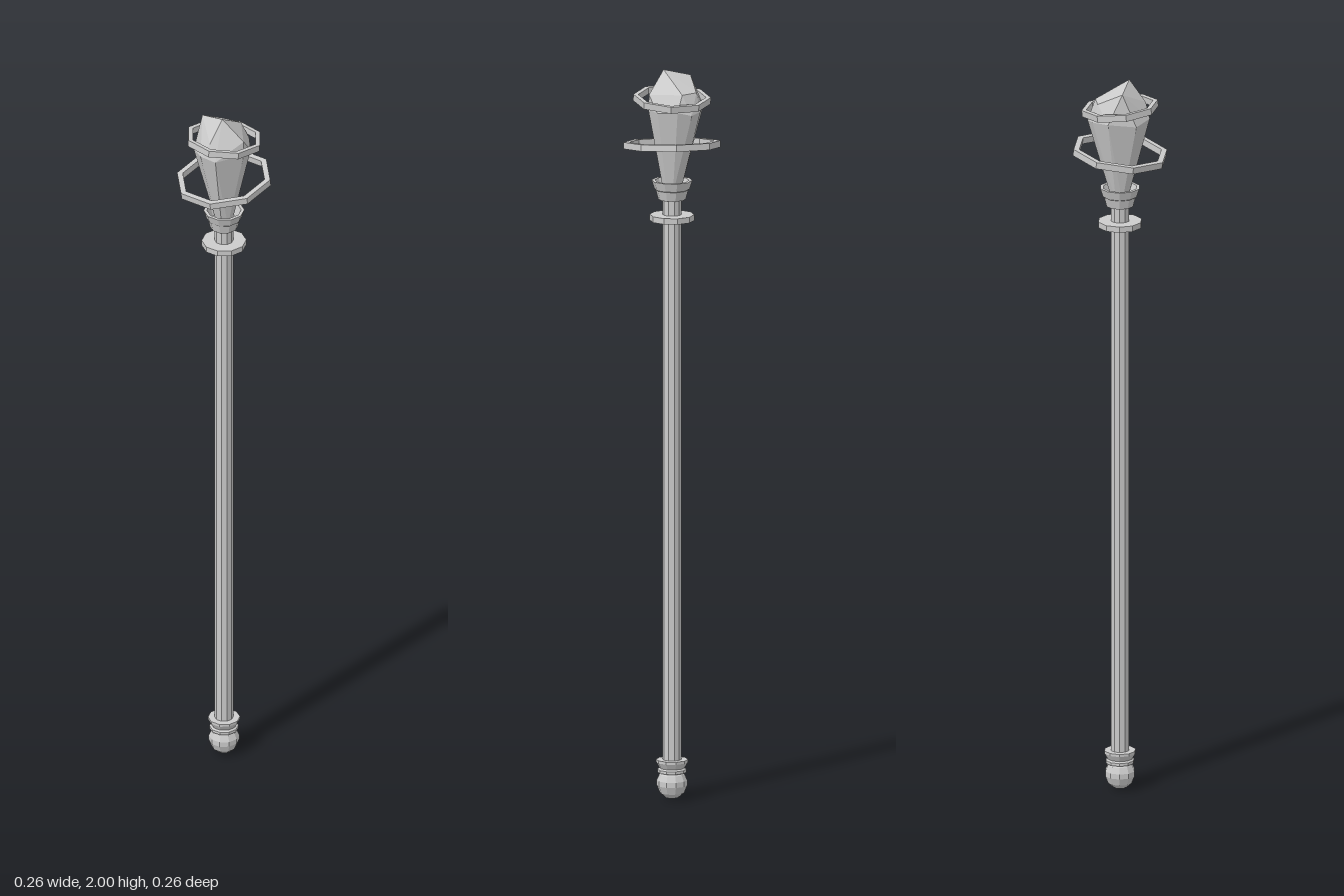
import * as THREE from 'three';
import { ConvexGeometry } from 'three/addons/geometries/ConvexGeometry.js';

export function createModel() {
  const model = new THREE.Group();
  const material = new THREE.MeshStandardMaterial({ color: 0xcccccc, flatShading: true });

  const add = (name, geometry, y = 0) => {
    const mesh = new THREE.Mesh(geometry, material);
    mesh.name = name;
    mesh.position.y = y;
    model.add(mesh);
    return mesh;
  };
  const lathe = (points, sides) =>
    new THREE.LatheGeometry(points.map(([r, y]) => new THREE.Vector2(r, y)), sides);

  // Shaft and the thin guard disc near its top
  add('shaft', new THREE.CylinderGeometry(0.025, 0.025, 1.57, 10), 0.875);
  add('guardDisc', new THREE.CylinderGeometry(0.06, 0.06, 0.016, 10), 1.598);

  // Rounded pommel with a flared collar
  add('pommel', lathe([
    [0, 0.005], [0.018, 0.009], [0.033, 0.022], [0.041, 0.042],
    [0.041, 0.056], [0.034, 0.072], [0.03, 0.076],
  ], 10));
  add('pommelCollar', lathe([
    [0.025, 0.074], [0.039, 0.078], [0.039, 0.086], [0.034, 0.09],
    [0.043, 0.106], [0.043, 0.113], [0.024, 0.113],
  ], 10));

  // Flared socket holding the crystal
  add('socket', lathe([
    [0, 1.648], [0.037, 1.648], [0.044, 1.674], [0.047, 1.676],
    [0.055, 1.7], [0.046, 1.7], [0.036, 1.67], [0, 1.67],
  ], 10));

  // Crystal: narrow foot, wide shoulder and a slanted, off-centre tip
  const crystalPoints = [];
  for (let i = 0; i < 8; i++) {
    const a = (i / 8) * Math.PI * 2;
    crystalPoints.push(new THREE.Vector3(0.022 * Math.cos(a), 1.665, 0.022 * Math.sin(a)));
  }
  [
    // shoulder
    [-0.02, 1.895, -0.082], [0.02, 1.89, -0.085], [0.052, 1.9, -0.062], [0.072, 1.895, -0.009],
    [0.064, 1.9, 0.03], [0, 1.895, 0.082], [-0.045, 1.9, 0.07], [-0.078, 1.89, 0.023],
    [-0.068, 1.9, -0.053],
    // crown
    [0.003, 2, 0.027], [-0.064, 1.98, -0.012], [0.03, 1.945, -0.06],
    [0.063, 1.94, 0.028], [-0.02, 1.94, 0.066], [-0.02, 1.945, -0.068],
  ].forEach((p) => crystalPoints.push(new THREE.Vector3(...p)));
  add('crystal', new ConvexGeometry(crystalPoints));

  // Tilted octagonal rings around the crystal
  const ring = (name, outer, inner, y, turn, tiltX, tiltZ) => {
    const h = 0.009;
    const geometry = lathe([[inner, -h], [outer, -h], [outer, h], [inner, h], [inner, -h]], 8);
    geometry.rotateY(turn);
    const mesh = add(name, geometry, y);
    mesh.rotation.set(tiltX, 0, tiltZ);
  };
  ring('lowerRing', 0.131, 0.115, 1.797, 0, 0.09, 0.09);
  ring('upperRing', 0.104, 0.091, 1.922, -0.12, -0.09, -0.05);

  return model;
}
